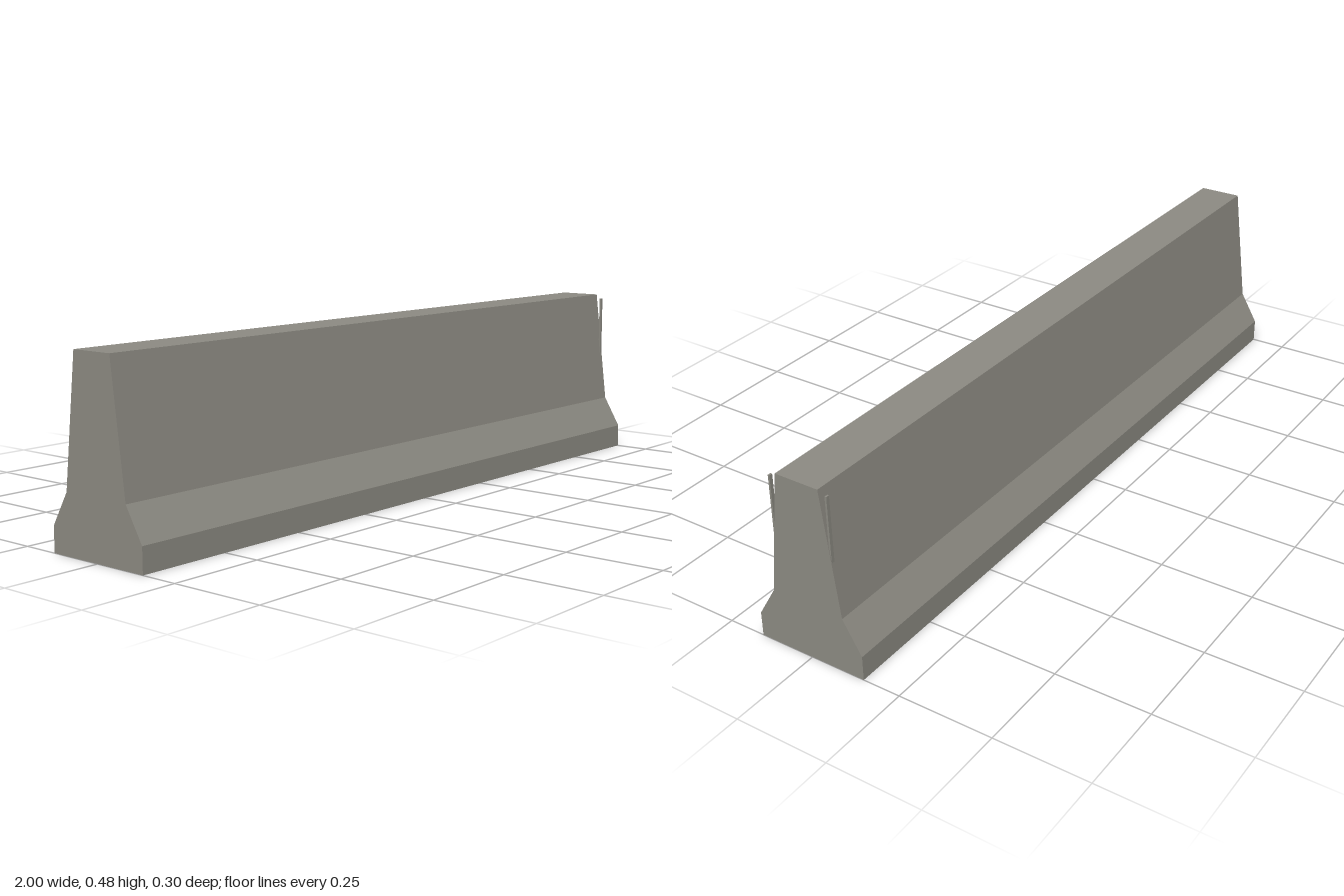
import * as THREE from 'three';

export function createModel() {
  const group = new THREE.Group();
  group.name = 'roadBarrier';
  const concrete = new THREE.MeshStandardMaterial({ color: 0x8c8a82 });
  concrete.name = 'concrete grey';

  // Barrier body: half profile [z, y], mirrored and extruded along x
  const half = [[0.15, 0], [0.15, 0.065], [0.1, 0.15], [0.06, 0.477]];
  const mirrored = half.map(([z, y]) => [-z, y]).reverse();
  const profile = new THREE.Shape([...half, ...mirrored].map(([z, y]) => new THREE.Vector2(z, y)));
  const bodyGeometry = new THREE.ExtrudeGeometry(profile, { depth: 2, bevelEnabled: false });
  bodyGeometry.translate(0, 0, -1);
  bodyGeometry.rotateY(Math.PI / 2);
  const body = new THREE.Mesh(bodyGeometry, concrete);
  body.name = 'barrierBody';
  group.add(body);

  // Thin upright connector tabs on both sides of the left end
  for (const side of [1, -1]) {
    const tab = new THREE.Mesh(new THREE.BoxGeometry(0.009, 0.175, 0.005), concrete);
    tab.position.set(0.994, 0.3775, side * 0.08);
    tab.name = side > 0 ? 'frontConnectorTab' : 'backConnectorTab';
    group.add(tab);
  }

  return group;
}
